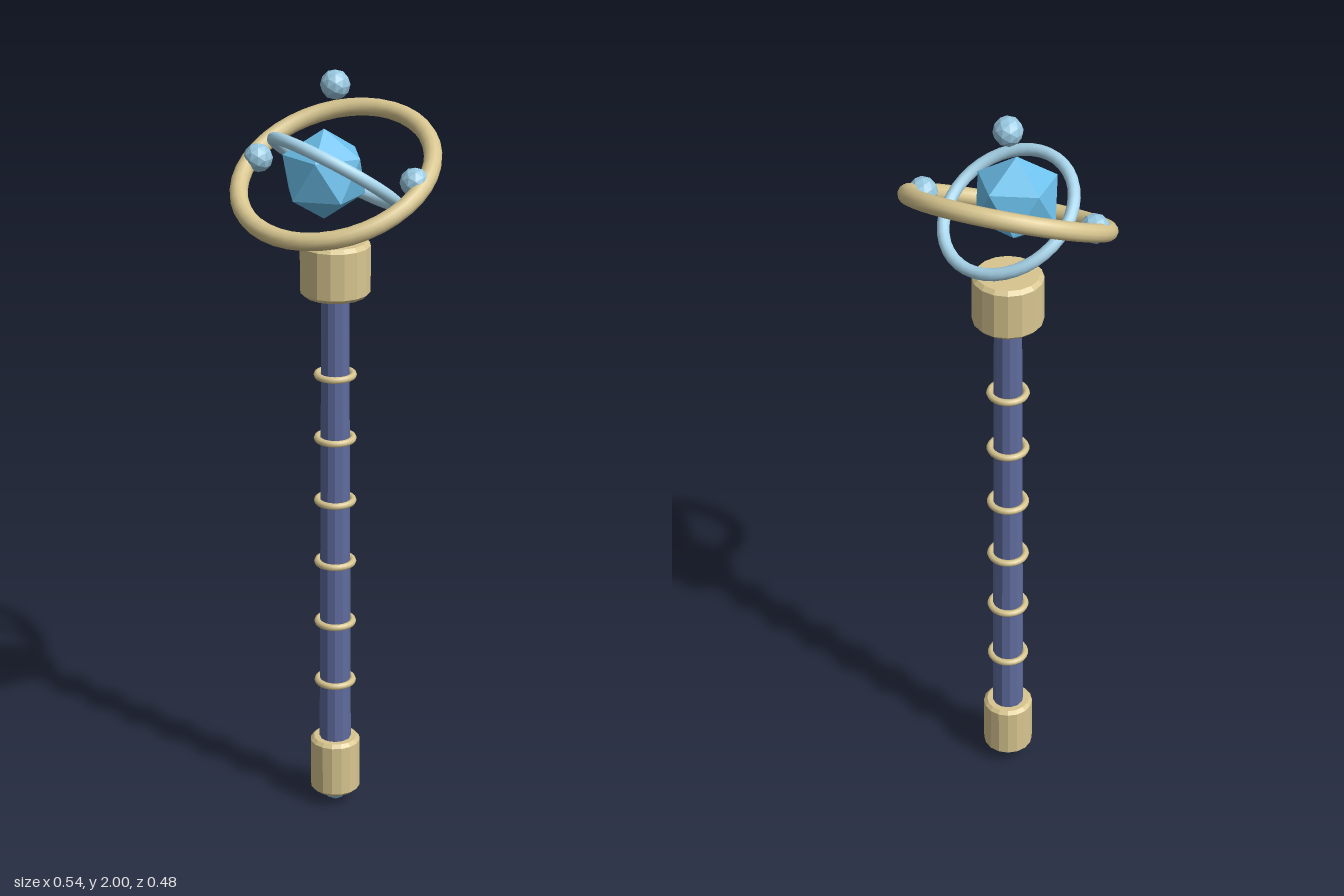
import * as THREE from 'three';

const mat = (color, flatShading = true) => new THREE.MeshStandardMaterial({ color, flatShading });
const gold = mat(0xd8c690);
const goldSmooth = mat(0xd8c690, false);
const paleSmooth = mat(0xa9d6ec, false);
const pale = mat(0x98c8e0);
const crystalBlue = mat(0x6cc0ec);
const shaftBlue = mat(0x5f6c9e);

export function createModel() {
  const model = new THREE.Group();
  const add = (name, geometry, material, x = 0, y = 0, z = 0) => {
    const mesh = new THREE.Mesh(geometry, material);
    mesh.name = name;
    mesh.position.set(x, y, z);
    model.add(mesh);
    return mesh;
  };

  // Solid collar with chamfered rims
  const collar = (name, radius, bottom, top, bevel) => {
    const profile = [
      [0, bottom], [radius - bevel, bottom], [radius, bottom + bevel],
      [radius, top - bevel], [radius - bevel, top], [0, top],
    ].map(([r, y]) => new THREE.Vector2(r, y));
    add(name, new THREE.LatheGeometry(profile, 16), gold);
  };

  // Tapered shaft with evenly spaced bands
  add('shaft', new THREE.CylinderGeometry(0.035, 0.042, 1.32, 12), shaftBlue, 0, 0.8, 0);
  for (let i = 0; i < 6; i++) {
    const band = new THREE.TorusGeometry(0.046, 0.009, 8, 24).rotateX(Math.PI / 2);
    add('shaftBand', band, goldSmooth, 0, 0.357 + i * 0.172, 0);
  }

  // Foot and head collars
  collar('footCollar', 0.066, 0.035, 0.19, 0.009);
  collar('headCollar', 0.089, 1.43, 1.57, 0.01);

  // Tilted orbit rings
  const outer = add('outerRing', new THREE.TorusGeometry(0.245, 0.0228, 12, 40), goldSmooth, 0, 1.743, 0);
  outer.rotation.x = -1.082;
  const inner = add('innerRing', new THREE.TorusGeometry(0.172, 0.0155, 12, 40), paleSmooth, 0, 1.745, 0);
  inner.rotation.set(1.01, -0.24, 0);

  // Faceted crystal, one corner pointing up
  const crystal = new THREE.IcosahedronGeometry(0.113, 0)
    .rotateX(-Math.atan((1 + Math.sqrt(5)) / 2))
    .rotateY(Math.PI / 2);
  add('crystal', crystal, crystalBlue, 0, 1.753, 0.054);

  // Small orbs: top, both sides and foot
  for (const [name, x, y] of [
    ['topOrb', 0, 1.963], ['leftOrb', 0.222, 1.75], ['rightOrb', -0.222, 1.75], ['footOrb', 0, 0.037],
  ]) add(name, new THREE.IcosahedronGeometry(0.037, 1), pale, x, y, 0);

  return model;
}
